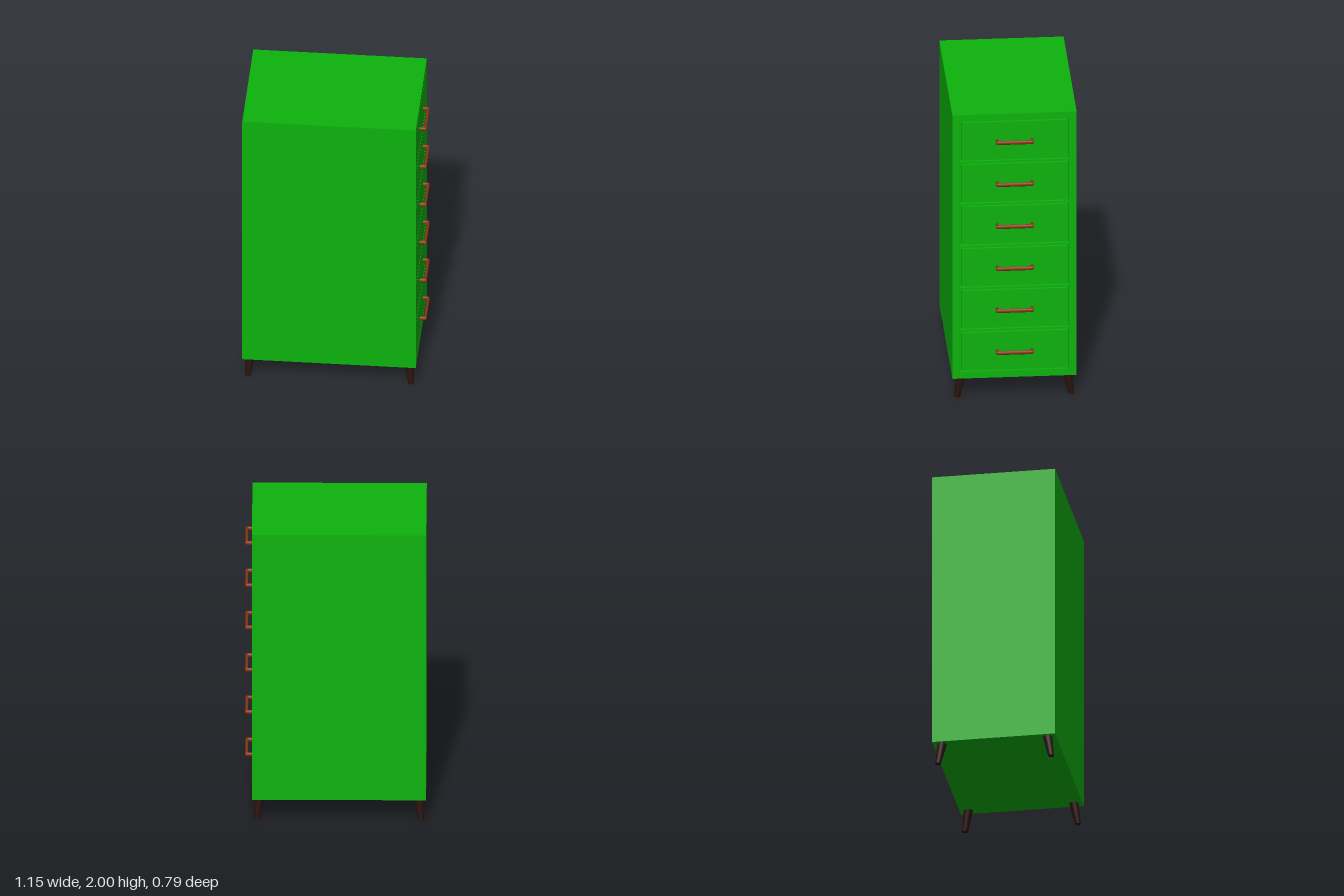
import * as THREE from 'three';

export function createModel() {
  const model = new THREE.Group();
  const green = new THREE.MeshStandardMaterial({ name: 'green paint', color: 0x0db30d });
  const brown = new THREE.MeshStandardMaterial({ name: 'brown handle', color: 0x8a3714 });
  const dark = new THREE.MeshStandardMaterial({ name: 'dark wood', color: 0x2a120d });

  const add = (parent, name, geometry, material, x = 0, y = 0, z = 0) => {
    const mesh = new THREE.Mesh(geometry, material);
    mesh.name = name;
    mesh.position.set(x, y, z);
    parent.add(mesh);
    return mesh;
  };

  const back = -0.578, face = 0.532, halfDepth = 0.397, base = 0.14, top = 2;
  const recess = 0.02;
  const halfW = 0.347, halfH = 0.141, gap = 0.008;
  const rows = Array.from({ length: 6 }, (_, i) => 0.328 + i * 0.2966);
  const midX = (back + face) / 2;

  // Cabinet body behind the drawer frame
  const bodyLength = face - recess - back;
  add(model, 'cabinetBody', new THREE.BoxGeometry(bodyLength, top - base, halfDepth * 2), green,
    back + bodyLength / 2, (base + top) / 2, 0);

  // Drawer frame with one opening per drawer
  const rect = (Type, w, y0, y1) => new Type([[-w, y0], [w, y0], [w, y1], [-w, y1]]
    .map(([a, b]) => new THREE.Vector2(a, b)));
  const frame = rect(THREE.Shape, halfDepth, base, top);
  rows.forEach((y) => frame.holes.push(rect(THREE.Path, halfW, y - halfH, y + halfH)));
  const frameGeometry = new THREE.ExtrudeGeometry(frame, { depth: recess, bevelEnabled: false });
  frameGeometry.rotateY(Math.PI / 2);
  add(model, 'drawerFrame', frameGeometry, green, face - recess);

  // Drawer fronts with bar handles
  const drawerGeometry = new THREE.BoxGeometry(recess, (halfH - gap) * 2, (halfW - gap) * 2);
  const r = 0.0095, barX = 0.0345, barZ = 0.111;
  const barGeometry = new THREE.CylinderGeometry(r, r, barZ * 2, 16).rotateX(Math.PI / 2);
  const postGeometry = new THREE.CylinderGeometry(r, r, barX, 16).rotateZ(Math.PI / 2);
  const cornerGeometry = new THREE.SphereGeometry(r, 16, 10);
  rows.forEach((y) => {
    add(model, 'drawerFront', drawerGeometry, green, face - recess / 2, y, 0);
    const handle = new THREE.Group();
    handle.name = 'drawerHandle';
    handle.position.set(face, y, 0);
    handle.scale.y = 1.4;
    add(handle, 'handleBar', barGeometry, brown, barX);
    for (const side of [-1, 1]) {
      add(handle, 'handlePost', postGeometry, brown, barX / 2, 0, side * barZ);
      add(handle, 'handleCorner', cornerGeometry, brown, barX, 0, side * barZ);
    }
    model.add(handle);
  });

  // Tapered legs, sheared outward so both ends stay level
  for (const sx of [-1, 1]) {
    for (const sz of [-1, 1]) {
      const leg = new THREE.CylinderGeometry(0.03, 0.019, base, 20);
      leg.applyMatrix4(new THREE.Matrix4().set(
        1, -sx * 0.09, 0, 0,
        0, 1, 0, 0,
        0, -sz * 0.17, 1, 0,
        0, 0, 0, 1));
      add(model, 'leg', leg, dark, midX + sx * 0.515, base / 2, sz * 0.353);
    }
  }

  return model;
}
